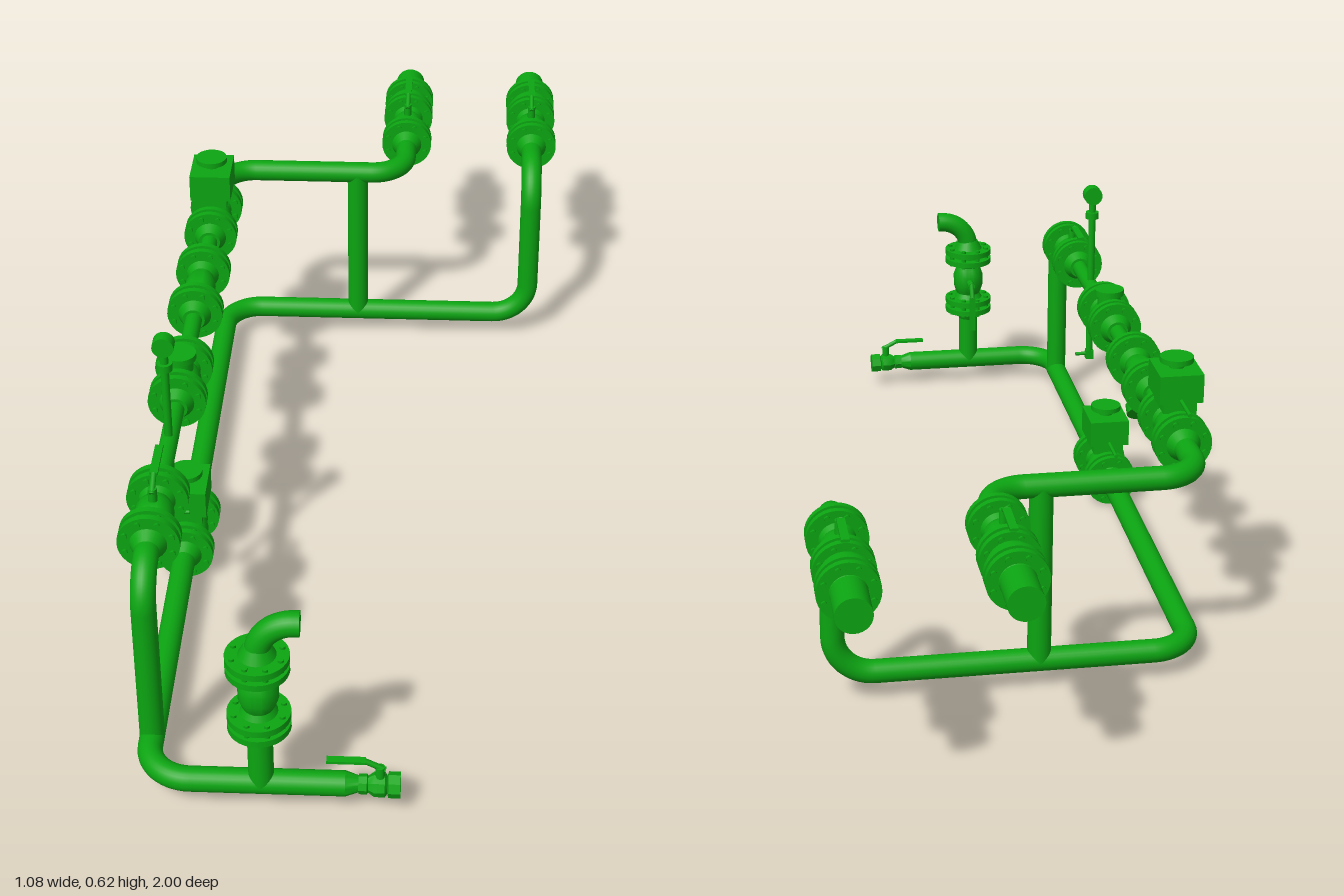
import * as THREE from 'three';
import { toCreasedNormals } from 'three/addons/utils/BufferGeometryUtils.js';

const green = new THREE.MeshStandardMaterial({ color: 0x0ca512 });
const V = (x, y, z) => new THREE.Vector3(x, y, z);
const R = 0.0215, THIN = 0.016;       // pipe radii
const LOW = 0.055, HIGH = 0.398;      // heights of the two runs
const MAIN = -0.335, BACK = -0.515, FRONT = 0.957; // plan lines of the runs

function add(parent, name, geometry, x = 0, y = 0, z = 0) {
  const mesh = new THREE.Mesh(geometry, green);
  mesh.name = name;
  mesh.position.set(x, y, z);
  parent.add(mesh);
  return mesh;
}

function group(parent, name, x = 0, y = 0, z = 0) {
  const g = new THREE.Group();
  g.name = name;
  g.position.set(x, y, z);
  parent.add(g);
  return g;
}

const box = (w, h, d) => new THREE.BoxGeometry(w, h, d);
const cyl = (r, h, n = 20) => new THREE.CylinderGeometry(r, r, h, n);

// Turned part along z from [radius, z] pairs
function turned(parent, name, profile, z = 0, sides = 24) {
  const points = profile.map(([r, h]) => new THREE.Vector2(r, h));
  const geo = new THREE.LatheGeometry(points, sides).rotateX(Math.PI / 2);
  // rotateX sends the turning axis y to +z
  return add(parent, name, toCreasedNormals(geo, 0.6), 0, 0, z);
}

// Straight round bar between two points
function bar(parent, name, a, b, r, sides = 24) {
  const mesh = add(parent, name, cyl(r, a.distanceTo(b), sides));
  mesh.position.copy(a).add(b).multiplyScalar(0.5);
  mesh.quaternion.setFromUnitVectors(V(0, 1, 0), b.clone().sub(a).normalize());
  return mesh;
}

// Pipe through the given corners, with round elbows
function pipe(parent, name, corners, bend = 0.065, r = R) {
  const g = group(parent, name);
  let start = corners[0];
  for (let i = 1; i < corners.length; i++) {
    const c = corners[i];
    if (i === corners.length - 1) { bar(g, 'straightPipe', start, c, r); break; }
    const p = c.clone().addScaledVector(corners[i - 1].clone().sub(c).normalize(), bend);
    const q = c.clone().addScaledVector(corners[i + 1].clone().sub(c).normalize(), bend);
    bar(g, 'straightPipe', start, p, r);
    const arc = new THREE.CubicBezierCurve3(p, p.clone().lerp(c, 0.5523), q.clone().lerp(c, 0.5523), q);
    const tube = new THREE.TubeGeometry(arc, 14, r, 24);
    add(g, 'elbow', tube);
    start = q;
  }
  return g;
}

// Two bolted plates with tapering necks
function flangePair(parent, z) {
  const g = group(parent, 'flangePair', 0, 0, z);
  for (const s of [-1, 1]) {
    add(g, 'flangePlate', cyl(0.053, 0.012, 32).rotateX(Math.PI / 2), 0, 0, s * 0.0105);
    const neck = new THREE.CylinderGeometry(s > 0 ? R : 0.032, s > 0 ? 0.032 : R, 0.02, 24).rotateX(Math.PI / 2);
    add(g, 'flangeNeck', neck, 0, 0, s * 0.026);
  }
  add(g, 'gasket', cyl(0.034, 0.01).rotateX(Math.PI / 2));
  for (let i = 0; i < 8; i++) {
    const t = (i + 0.5) * Math.PI / 4;
    add(g, 'bolt', cyl(0.0055, 0.042, 6).rotateX(Math.PI / 2), 0.043 * Math.cos(t), 0.043 * Math.sin(t), 0);
  }
}

// Stem and cranked handle that points to -z
function lever(parent, height, length) {
  const g = group(parent, 'lever');
  add(g, 'stem', cyl(0.008, height - 0.012, 12), 0, (height - 0.012) / 2, 0);
  bar(g, 'handleCrank', V(0, height - 0.018, 0.008), V(0, height, -0.026), 0.005, 8);
  add(g, 'handle', box(0.014, 0.005, length), 0, height, -0.024 - length / 2);
}

const bulge = (r, half) => [[R, -half], [R, -half * 0.7], [r * 0.85, -half * 0.45], [r, -half * 0.2],
  [r, half * 0.2], [r * 0.85, half * 0.45], [R, half * 0.7], [R, half]];

function flangedValve(parent, name, x, y, z, half, r) {
  const g = group(parent, name, x, y, z);
  turned(g, 'valveBody', bulge(r, half), 0);
  flangePair(g, -half);
  flangePair(g, half);
  return g;
}

function ballValve(parent, x, y, z) {
  const g = flangedValve(parent, 'ballValve', x, y, z, 0.06, 0.034);
  lever(g, 0.07, 0.08);
  return g;
}

function motorValve(parent, y, z) {
  const g = flangedValve(parent, 'motorValve', MAIN, y, z, 0.058, 0.036);
  add(g, 'actuatorNeck', cyl(0.016, 0.055), 0, 0.03, 0);
  add(g, 'actuatorBase', box(0.062, 0.022, 0.078), 0, 0.058, 0);
  add(g, 'actuatorBox', box(0.081, 0.054, 0.096), 0, 0.096, 0);
  add(g, 'knobStem', cyl(0.014, 0.012), 0, 0.128, 0);
  add(g, 'knob', cyl(0.031, 0.01, 24), 0, 0.139, 0);
  bar(g, 'manualLever', V(0, 0.074, -0.04), V(0, 0.074, -0.115), 0.004, 8);
}

export function createModel() {
  const model = new THREE.Group();
  model.name = 'pipework';
  const g = group(model, 'pipeAssembly');
  g.rotation.y = THREE.MathUtils.degToRad(28);

  // Lower run, rising at the back into the second branch
  pipe(g, 'lowerRun', [V(0, LOW, FRONT), V(MAIN, LOW, FRONT), V(MAIN, LOW, BACK),
    V(0.32, LOW, BACK), V(0.32, HIGH, BACK), V(0.32, HIGH, -0.85)], 0.075);
  // Upper run with thin middle stretch, ending in the first branch
  pipe(g, 'upperRiser', [V(MAIN, LOW, 0.856), V(MAIN, HIGH, 0.856), V(MAIN, HIGH, 0.75)]);
  bar(g, 'thinUpperPipe', V(MAIN, HIGH, 0.75), V(MAIN, HIGH, -0.25), THIN);
  pipe(g, 'upperRun', [V(MAIN, HIGH, -0.25), V(MAIN, HIGH, BACK),
    V(0.05, HIGH, BACK), V(0.05, HIGH, -0.85)], 0.07);
  bar(g, 'bypassRiser', V(-0.05, LOW, BACK), V(-0.05, HIGH, BACK), R);

  // Both back branches: ball valve, short check valve and wide end
  for (const x of [0.05, 0.32]) {
    const branch = group(g, 'branch', x, HIGH, 0);
    ballValve(branch, 0, 0, -0.72);
    turned(branch, 'checkValveBody', bulge(0.044, 0.034), -0.815);
    flangePair(branch, -0.85);
    add(branch, 'wideEnd', cyl(0.031, 0.09, 28).rotateX(Math.PI / 2), 0, 0, -0.9);
  }

  // Valves on the main runs
  ballValve(g, MAIN, HIGH, 0.69);
  motorValve(g, HIGH, -0.306);
  motorValve(g, LOW, 0.29);
  const check = flangedValve(g, 'checkValve', MAIN, HIGH, 0.285, 0.055, 0.036);
  add(check, 'bonnet', cyl(0.024, 0.05), 0, 0.025, 0);
  add(check, 'bonnetCap', cyl(0.03, 0.012), 0, 0.056, 0);

  // Strainer with a slanted basket
  const strainer = flangedValve(g, 'strainer', MAIN, HIGH, -0.03, 0.073, 0.03);
  bar(strainer, 'basket', V(0, 0, 0.035), V(0, -0.062, -0.025), 0.026);
  bar(strainer, 'basketCap', V(0, -0.056, -0.019), V(0, -0.07, -0.033), 0.034);

  // Gauge on a vertical tube with a drain cock
  const gauge = group(g, 'gauge', MAIN, 0, 0.476);
  bar(gauge, 'gaugeTube', V(0, 0.235, 0), V(0, 0.6, 0), 0.0075, 12);
  add(gauge, 'gaugeCollar', cyl(0.014, 0.014, 12), 0, 0.558, 0);
  add(gauge, 'gaugeDial', cyl(0.019, 0.024, 24).rotateX(Math.PI / 2), 0, 0.602, 0);
  add(gauge, 'gaugeCock', box(0.016, 0.02, 0.016), 0, 0.242, 0);
  bar(gauge, 'cockHandle', V(0, 0.243, 0), V(0.03, 0.243, 0), 0.004, 8);

  // Front riser with its valve turned upright and an open elbow
  pipe(g, 'frontRiser', [V(-0.14, LOW, FRONT), V(-0.14, HIGH, FRONT), V(-0.07, HIGH, FRONT)], 0.062);
  ballValve(g, -0.14, 0.256, FRONT).rotation.x = -Math.PI / 2;

  // Reducer and small drain valve at the front end
  const drain = group(g, 'drainValve', 0, LOW, FRONT);
  drain.rotation.y = Math.PI / 2;
  turned(drain, 'reducer', [[R, 0], [0.013, 0.025], [0.013, 0.04]]);
  turned(drain, 'drainBody', [[0, 0.022], [0.017, 0.022], [0.017, 0.036], [0.014, 0.038], [0.021, 0.048],
    [0.021, 0.066], [0.015, 0.07], [0.022, 0.072], [0.022, 0.092], [0, 0.092]], 0, 8);
  lever(group(drain, 'drainLever', 0, 0, 0.058), 0.052, 0.065);
  return model;
}
